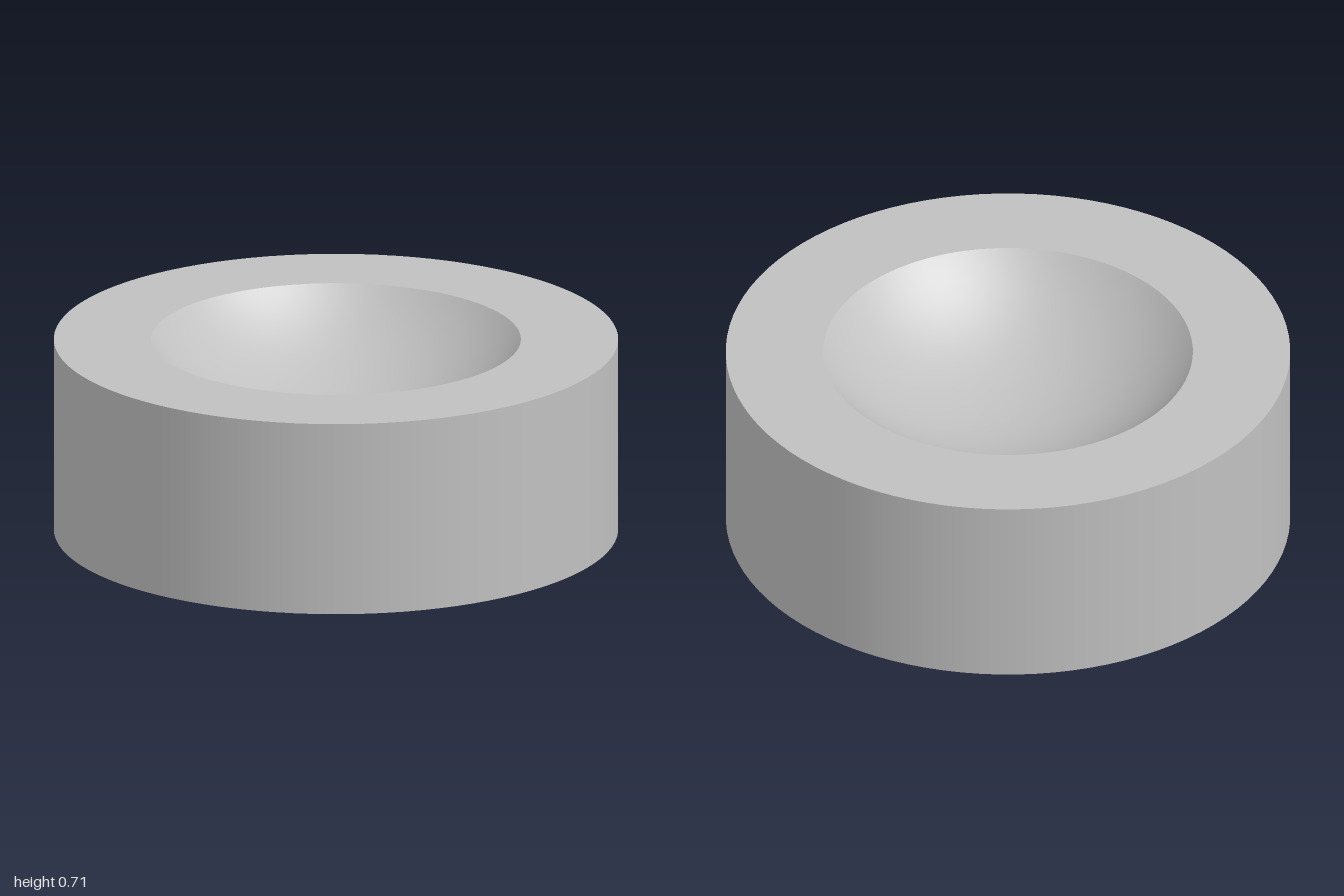
import * as THREE from 'three';

const HEIGHT = 0.706, OUTER = 1, RIM = 0.655, BOWL_RADIUS = 0.87, SEGMENTS = 96;

export function createModel() {
  const group = new THREE.Group();
  group.name = 'dishBlock';
  const grey = new THREE.MeshStandardMaterial({ color: 0xc0c0c0 });
  grey.name = 'grey';

  // Each surface is its own lathe so the edges between them stay sharp
  const addLathe = (name, points) => {
    const profile = points.map(([r, y]) => new THREE.Vector2(r, y));
    const mesh = new THREE.Mesh(new THREE.LatheGeometry(profile, SEGMENTS), grey);
    mesh.name = name;
    group.add(mesh);
  };

  addLathe('base', [[0, 0], [OUTER, 0]]);
  addLathe('outerWall', [[OUTER, 0], [OUTER, HEIGHT]]);
  addLathe('rim', [[OUTER, HEIGHT], [RIM, HEIGHT]]);

  // Spherical hollow, from the rim down to the centre
  const rimAngle = Math.asin(RIM / BOWL_RADIUS);
  const centreY = HEIGHT + BOWL_RADIUS * Math.cos(rimAngle);
  const arc = [];
  for (let i = 0; i <= 24; i++) {
    const a = rimAngle * (1 - i / 24);
    arc.push([BOWL_RADIUS * Math.sin(a), centreY - BOWL_RADIUS * Math.cos(a)]);
  }
  addLathe('bowl', arc);

  return group;
}
